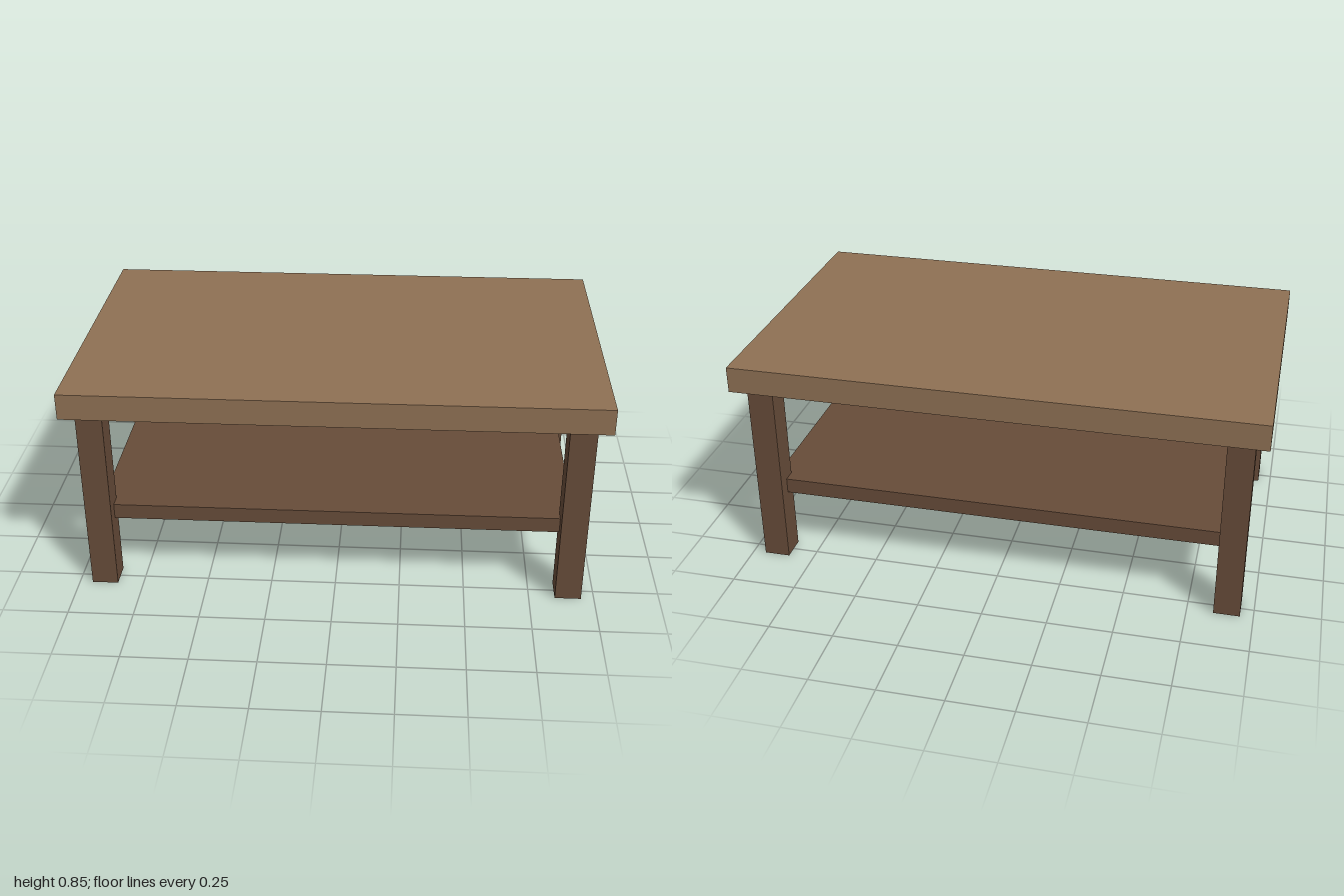
import * as THREE from 'three';

export function createModel() {
  const table = new THREE.Group();
  table.name = 'coffeeTable';

  const lightWood = new THREE.MeshStandardMaterial({ color: 0x8f7154 });
  lightWood.name = 'lightWood';
  const darkWood = new THREE.MeshStandardMaterial({ color: 0x674c39 });
  darkWood.name = 'darkWood';

  // Adds a box with its centre at (x, y, z)
  const addBox = (name, material, [w, h, d], [x, y, z]) => {
    const mesh = new THREE.Mesh(new THREE.BoxGeometry(w, h, d), material);
    mesh.name = name;
    mesh.position.set(x, y, z);
    table.add(mesh);
  };

  // Table top
  addBox('tableTop', lightWood, [2, 0.1, 1.2], [0, 0.8, 0]);

  // Lower shelf, its corners let into the legs
  addBox('shelf', darkWood, [1.8, 0.06, 1], [0, 0.3, 0]);

  // Four square legs
  for (const [side, x] of [['Left', 0.9], ['Right', -0.9]]) {
    for (const [end, z] of [['front', 0.5], ['back', -0.5]]) {
      addBox(`${end}${side}Leg`, darkWood, [0.1, 0.75, 0.1], [x, 0.375, z]);
    }
  }

  return table;
}
